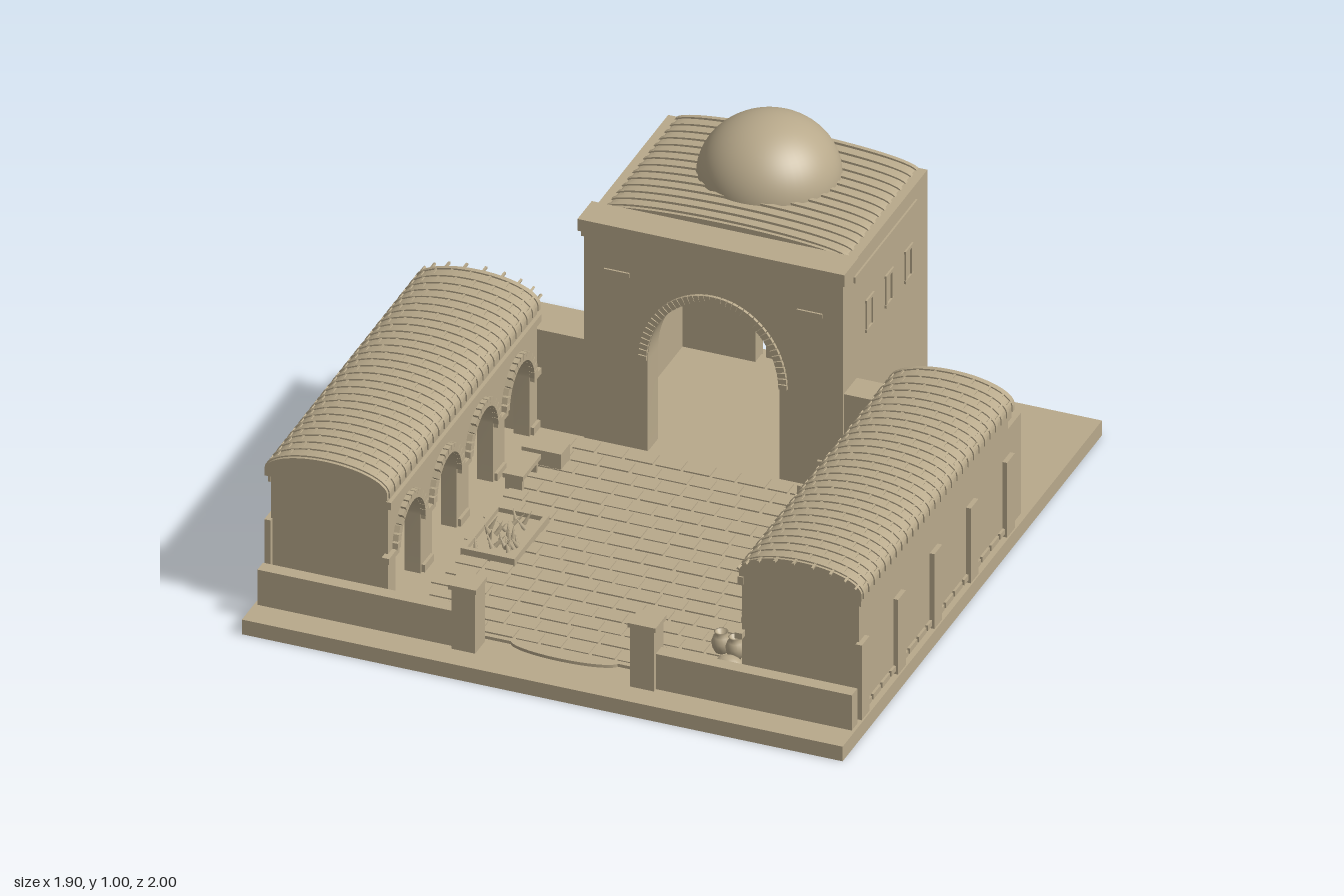
import * as THREE from 'three';
import { toCreasedNormals } from 'three/addons/utils/BufferGeometryUtils.js';

const sandstone = new THREE.MeshStandardMaterial({ color: 0xb8a98b });
sandstone.name = 'sandstone';

function add(parent, name, geometry, x = 0, y = 0, z = 0) {
  const m = new THREE.Mesh(geometry, sandstone);
  m.name = name;
  m.position.set(x, y, z);
  parent.add(m);
  return m;
}

// Box given by its extents
function box(parent, name, x0, x1, y0, y1, z0, z1) {
  return add(parent, name, new THREE.BoxGeometry(x1 - x0, y1 - y0, z1 - z0),
    (x0 + x1) / 2, (y0 + y1) / 2, (z0 + z1) / 2);
}

function extrude(shape, depth) {
  const g = new THREE.ExtrudeGeometry(shape, { depth, bevelEnabled: false, curveSegments: 20 });
  return toCreasedNormals(g, 0.5);
}

// Wall from u0 to u1 with arched doorways cut up from its foot
function archedWall(u0, u1, y0, y1, depth, centres, r, spring, ry) {
  const s = new THREE.Shape();
  s.moveTo(u0, y0);
  for (const c of centres) {
    s.lineTo(c - r, y0);
    s.lineTo(c - r, spring);
    s.absellipse(c, spring, r, ry, Math.PI, 0, true, 0);
    s.lineTo(c + r, y0);
  }
  s.lineTo(u1, y0);
  s.lineTo(u1, y1);
  s.lineTo(u0, y1);
  s.closePath();
  return extrude(s, depth);
}

// Solid with straight lower sides and an elliptical top
function vault(r, foot, spring, rise, depth) {
  const s = new THREE.Shape();
  s.moveTo(-r, foot);
  s.lineTo(r, foot);
  s.lineTo(r, spring);
  s.absellipse(0, spring, r, rise, 0, Math.PI, false, 0);
  s.closePath();
  return extrude(s, depth);
}

// Ring of separate wedge stones around an arch
function archStones(parent, c, spring, rx, ry, count, size, depth) {
  const group = new THREE.Group();
  group.name = 'archStones';
  for (let i = 0; i < count; i++) {
    const a = Math.PI * (i + 0.5) / count;
    const step = Math.PI * (rx + ry) / 2 / count;
    const b = add(group, 'archStone', new THREE.BoxGeometry(size, step * 0.88, depth),
      c + Math.cos(a) * rx, spring + Math.sin(a) * ry, 0);
    b.rotation.z = Math.atan2(Math.sin(a) / ry, Math.cos(a) / rx);
  }
  parent.add(group);
  return group;
}

// Vaulted side wing around its own centre: arcade on -x, plain wall on +x
function makeWing() {
  const w = new THREE.Group();
  box(w, 'outerWall', 0.14, 0.18, 0.05, 0.455, -0.575, 0.575);
  for (const s of [-1, 1]) box(w, 'endWall', -0.185, 0.18, 0.05, 0.455, s * 0.555 - 0.02, s * 0.555 + 0.02);
  box(w, 'outerMoulding', 0.18, 0.188, 0.43, 0.455, -0.58, 0.58);
  add(w, 'gable', vault(0.18, 0.45, 0.465, 0.06, 1.15), 0, 0, -0.575);

  const arcade = new THREE.Group();
  arcade.name = 'arcade';
  const centres = [-0.42, -0.14, 0.14, 0.42];
  add(arcade, 'arcadeWall', archedWall(-0.575, 0.575, 0.05, 0.455, 0.05, centres, 0.095, 0.26, 0.105));
  for (const c of centres) archStones(arcade, c, 0.26, 0.108, 0.118, 15, 0.026, 0.024).position.z = 0.055;
  for (const c of [-0.56, -0.28, 0, 0.28, 0.56]) {
    box(arcade, 'columnCapital', c - 0.04, c + 0.04, 0.245, 0.265, 0.04, 0.064);
    box(arcade, 'columnFoot', c - 0.035, c + 0.035, 0.06, 0.085, 0.04, 0.06);
  }
  box(arcade, 'arcadeMoulding', -0.58, 0.58, 0.42, 0.445, 0.045, 0.062);
  arcade.rotation.y = -Math.PI / 2;
  arcade.position.x = -0.14;
  w.add(arcade);

  // Roof: smooth vault, cross ribs and short staggered tile ridges
  add(w, 'roof', vault(0.194, 0.455, 0.475, 0.07, 1.18), 0, 0, -0.59);
  for (let i = 0; i < 28; i++) {
    const z = -0.58 + i * 0.0425;
    add(w, 'roofRib', vault(0.198, 0.46, 0.475, 0.075, 0.014), 0, 0, z);
    for (let k = 0; k < 9; k++) {
      const a = Math.PI * (k + 0.75 + (i % 2) * 0.5) / 10;
      const t = add(w, 'roofTile', new THREE.BoxGeometry(0.007, 0.007, 0.028),
        Math.cos(a) * 0.194, 0.475 + Math.sin(a) * 0.07, z + 0.028);
      t.rotation.z = Math.atan2(Math.sin(a) / 0.07, Math.cos(a) / 0.194);
    }
  }
  // Outer buttresses with a broken course of foot stones between
  for (let i = -2; i <= 2; i++) box(w, 'buttress', 0.175, 0.195, 0.05, 0.305, i * 0.28 - 0.03, i * 0.28 + 0.03);
  for (let i = 0; i < 16; i++) box(w, 'footStone', 0.175, 0.188, 0.06, 0.078, -0.555 + i * 0.07, -0.497 + i * 0.07);
  return w;
}

// Domed hall with a great arch to the court
function makeHall() {
  const h = new THREE.Group();
  h.name = 'hall';
  add(h, 'frontWall', archedWall(-0.41, 0.41, 0.05, 0.815, 0.08, [0], 0.208, 0.37, 0.24), 0, 0, -0.4);
  add(h, 'backWall', archedWall(-0.41, 0.41, 0.05, 0.8, 0.06, [0], 0.11, 0.27, 0.14), 0, 0, -0.97);
  box(h, 'backDoor', -0.09, 0.09, 0.055, 0.32, -0.965, -0.945);
  box(h, 'hallFloor', -0.4, 0.4, 0.05, 0.058, -0.96, -0.33);
  box(h, 'ceiling', -0.4, 0.4, 0.74, 0.8, -0.96, -0.35);
  archStones(h, 0, 0.37, 0.222, 0.255, 41, 0.026, 0.03).position.z = -0.325;
  box(h, 'cornice', -0.422, 0.422, 0.775, 0.815, -0.41, -0.3);
  box(h, 'lowerCornice', -0.414, 0.414, 0.755, 0.775, -0.405, -0.308);
  for (const s of [-1, 1]) {
    box(h, 'sideWall', s * 0.375 - 0.035, s * 0.375 + 0.035, 0.05, 0.8, -0.96, -0.35);
    box(h, 'sideLedge', s * 0.41 - 0.006, s * 0.41 + 0.006, 0.73, 0.75, -0.88, -0.4);
    box(h, 'frontPanel', s * 0.305 - 0.04, s * 0.305 + 0.04, 0.64, 0.655, -0.325, -0.314);
    for (const z of [-0.52, -0.67, -0.82]) {
      for (const e of [-1, 1]) box(h, 'windowJamb', s * 0.411 - 0.004, s * 0.411 + 0.004, 0.52, 0.61, z + e * 0.022 - 0.005, z + e * 0.022 + 0.005);
      box(h, 'windowLintel', s * 0.411 - 0.005, s * 0.411 + 0.005, 0.61, 0.62, z - 0.03, z + 0.03);
      box(h, 'windowSill', s * 0.411 - 0.005, s * 0.411 + 0.005, 0.51, 0.52, z - 0.03, z + 0.03);
    }
  }
  // Low ribbed roof and dome
  add(h, 'hallRoof', vault(0.38, 0.79, 0.795, 0.038, 0.56), 0, 0, -0.97);
  for (let i = 0; i < 14; i++) add(h, 'hallRoofRib', vault(0.384, 0.79, 0.797, 0.044, 0.014), 0, 0, -0.968 + i * 0.041);
  const dome = add(h, 'dome', new THREE.SphereGeometry(0.215, 48, 24, 0, Math.PI * 2, 0, Math.PI / 2), 0, 0.815, -0.75);
  dome.scale.y = 0.88;
  return h;
}

function jar(parent, x, z, r) {
  const p = [[0, 0], [0.55, 0], [0.9, 0.7], [1, 1.3], [0.8, 1.9], [0.55, 2.15], [0.72, 2.4], [0.55, 2.4], [0.45, 2.1], [0, 1.9]];
  add(parent, 'jar', new THREE.LatheGeometry(p.map(([a, b]) => new THREE.Vector2(a * r, b * r)), 20), x, 0.06, z);
}

export function createModel() {
  const g = new THREE.Group();
  let seed = 7;
  const rand = () => (seed = (seed * 16807) % 2147483647) / 2147483647;

  box(g, 'ground', -0.95, 0.95, 0, 0.05, -1, 1);
  box(g, 'courtFloor', -0.93, 0.93, 0.045, 0.06, -0.33, 0.83);
  const step = add(g, 'entranceStep', new THREE.CylinderGeometry(0.17, 0.17, 0.014, 32), 0, 0.053, 0.826);
  step.scale.z = 0.24;

  // Staggered paving stones
  const paving = new THREE.Group();
  paving.name = 'paving';
  for (let r = 0; r < 17; r++) {
    const z = -0.305 + r * 0.0665;
    for (let x = -0.52 + rand() * 0.04; x < 0.44;) {
      const w = 0.06 + rand() * 0.035;
      box(paving, 'pavingStone', x, x + w, 0.055, 0.063 + rand() * 0.002, z, z + 0.054);
      x += w + 0.01;
    }
  }
  g.add(paving);

  g.add(makeHall());
  for (const s of [-1, 1]) {
    const wing = makeWing();
    wing.name = s > 0 ? 'leftWing' : 'rightWing';
    wing.position.set(s * 0.75, 0, 0.25);
    if (s < 0) wing.rotation.y = Math.PI;
    g.add(wing);
    const span = (name, a, b, ...rest) => box(g, name, Math.min(s * a, s * b), Math.max(s * a, s * b), ...rest);
    span('linkWall', 0.4, 0.93, 0.05, 0.393, -0.425, -0.325);
    span('sidePad', 0.4, 0.54, 0.045, 0.056, -0.72, -0.42);
    span('frontLowWall', 0.3, 0.94, 0.05, 0.17, 0.862, 0.905);
    span('gatePier', 0.245, 0.32, 0.05, 0.255, 0.846, 0.92);
    span('gatePierCap', 0.24, 0.328, 0.255, 0.27, 0.84, 0.927);
  }

  // Planting bed with spiky shrubs
  box(g, 'bedSoil', -0.48, -0.33, 0.06, 0.07, 0.18, 0.42);
  for (const [x0, x1, z0, z1] of [[-0.49, -0.475, 0.165, 0.435], [-0.335, -0.32, 0.165, 0.435],
    [-0.49, -0.32, 0.165, 0.18], [-0.49, -0.32, 0.42, 0.435]]) box(g, 'bedRim', x0, x1, 0.06, 0.085, z0, z1);
  for (let i = 0; i < 24; i++) {
    const leaf = add(g, 'shrub', new THREE.ConeGeometry(0.008, 0.05, 5),
      -0.405 + (rand() - 0.5) * 0.11, 0.092, 0.3 + (rand() - 0.5) * 0.2);
    leaf.rotation.set(rand() - 0.5, 0, (rand() - 0.5) * 1.4);
  }

  // Benches
  box(g, 'bench', -0.525, -0.4, 0.06, 0.115, -0.19, -0.12);
  box(g, 'benchSeat', -0.52, -0.455, 0.1, 0.115, -0.1, 0.04);
  for (const z of [-0.09, 0.02]) box(g, 'benchLeg', -0.515, -0.46, 0.06, 0.1, z, z + 0.014);

  // Market stand with rows of produce
  for (const x of [0.405, 0.495]) for (const z of [-0.145, 0.005]) box(g, 'standPost', x - 0.005, x + 0.005, 0.06, 0.265, z - 0.005, z + 0.005);
  box(g, 'standBack', 0.4, 0.5, 0.06, 0.265, -0.15, -0.142);
  for (const y of [0.11, 0.185]) box(g, 'standShelf', 0.4, 0.5, y, y + 0.01, -0.15, 0.01);
  for (let i = 0; i < 4; i++) for (let k = 0; k < 5; k++)
    add(g, 'produce', new THREE.SphereGeometry(0.011, 10, 8), 0.417 + i * 0.022, 0.203, -0.125 + k * 0.028);

  // Jars and a sack
  for (const [x, z, r] of [[0.47, 0.135, 0.027], [0.46, 0.24, 0.038], [0.5, 0.3, 0.03], [0.465, 0.4, 0.042],
    [0.5, 0.36, 0.036], [0.425, 0.655, 0.03], [0.475, 0.668, 0.03]]) jar(g, x, z, r);
  const sack = add(g, 'sack', new THREE.SphereGeometry(0.04, 14, 10), 0.49, 0.085, 0.755);
  sack.scale.set(1.1, 0.8, 0.9);
  return g;
}
